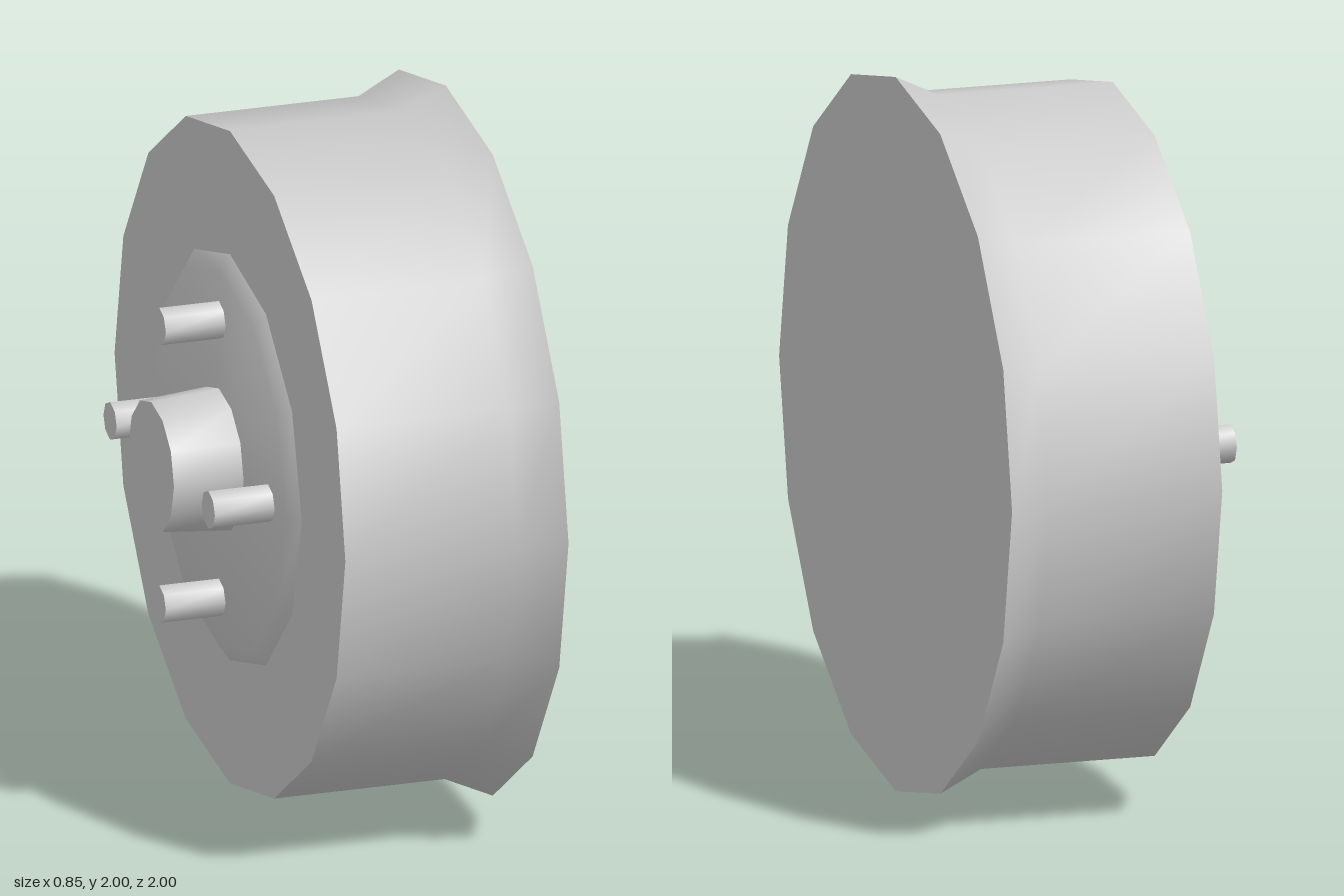
import * as THREE from 'three';
import { toCreasedNormals } from 'three/addons/utils/BufferGeometryUtils.js';

const material = new THREE.MeshStandardMaterial({ color: 0xcccccc });

// Solid turned around the x axis; profile is [x, radius] from -x to +x.
function turned(name, profile, sides) {
  const points = profile.map(([x, r]) => new THREE.Vector2(r, x));
  const geometry = new THREE.LatheGeometry(points, sides);
  geometry.rotateZ(-Math.PI / 2);
  const mesh = new THREE.Mesh(toCreasedNormals(geometry, THREE.MathUtils.degToRad(50)), material);
  mesh.name = name;
  return mesh;
}

export function createModel() {
  const model = new THREE.Group();
  model.name = 'wheelDrum';

  // Closed drum with a flared rim on the +x side
  const drum = turned('drum', [[-0.2, 0], [-0.2, 0.94], [0.3, 0.94], [0.425, 1], [0.425, 0]], 16);

  // Bevelled mounting plate and tapered centre hub
  const plate = turned('mountingPlate', [[-0.232, 0], [-0.232, 0.54], [-0.2, 0.585], [-0.2, 0]], 12);
  const hub = turned('hub', [[-0.428, 0], [-0.428, 0.185], [-0.23, 0.202], [-0.23, 0]], 12);
  model.add(drum, plate, hub);

  // Four studs around the hub
  for (let i = 0; i < 4; i++) {
    const angle = (i * Math.PI) / 2;
    const stud = turned('stud', [[-0.405, 0], [-0.405, 0.054], [-0.22, 0.054], [-0.22, 0]], 8);
    stud.position.set(0, 0.4 * Math.cos(angle), 0.4 * Math.sin(angle));
    model.add(stud);
  }

  model.position.y = 1;
  return model;
}
